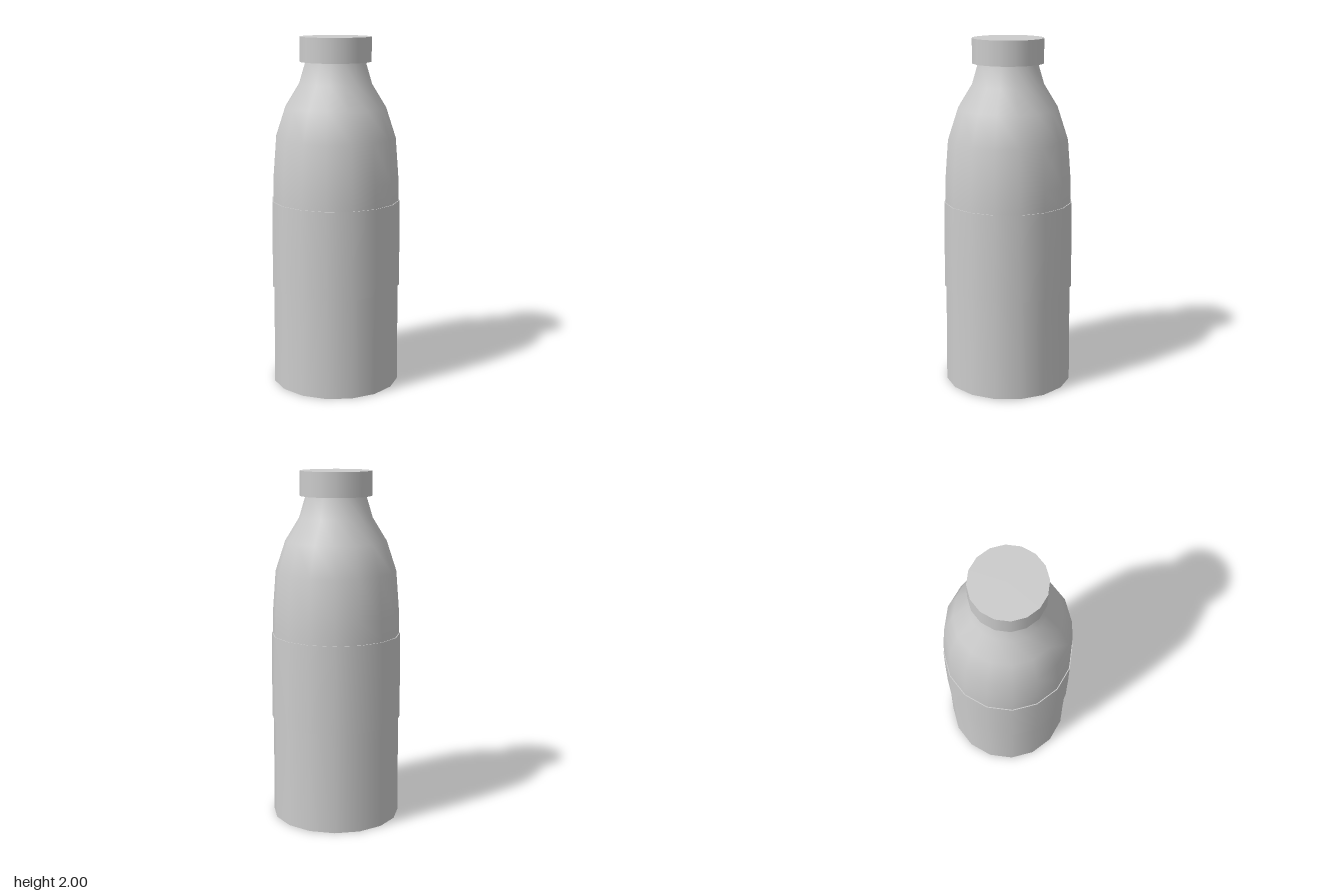
import * as THREE from 'three';

const SIDES = 16;

export function createModel() {
  const group = new THREE.Group();
  const material = new THREE.MeshStandardMaterial({ color: 0xcccccc });

  const add = (name, geometry, y = 0) => {
    const mesh = new THREE.Mesh(geometry, material);
    mesh.name = name;
    mesh.position.y = y;
    group.add(mesh);
    return mesh;
  };
  const lathe = (points) =>
    new THREE.LatheGeometry(points.map(([r, y]) => new THREE.Vector2(r, y)), SIDES);
  // Flat annulus facing up (dir = 1) or down (dir = -1)
  const ring = (inner, outer, dir) =>
    new THREE.RingGeometry(inner, outer, SIDES, 1).rotateX(-dir * Math.PI / 2);

  // Bottle wall, shoulder and neck
  add('bottleBody', lathe([
    [0.37, 0], [0.367, 0.3], [0.366, 0.58], [0.364, 1.08], [0.362, 1.2],
    [0.343, 1.44], [0.287, 1.61], [0.207, 1.74], [0.171, 1.86], [0.171, 1.88],
  ]));
  add('bottleBase', new THREE.CircleGeometry(0.37, SIDES).rotateX(Math.PI / 2));

  // Sleeve around the middle, with thin end rims
  add('sleeve', lathe([[0.373, 0.58], [0.372, 0.87], [0.369, 1.08]]));
  add('sleeveLowerRim', ring(0.36, 0.373, -1), 0.58);
  add('sleeveUpperRim', ring(0.36, 0.369, 1), 1.08);

  // Screw cap
  add('cap', new THREE.CylinderGeometry(0.203, 0.203, 0.138, SIDES), 1.931);

  return group;
}
